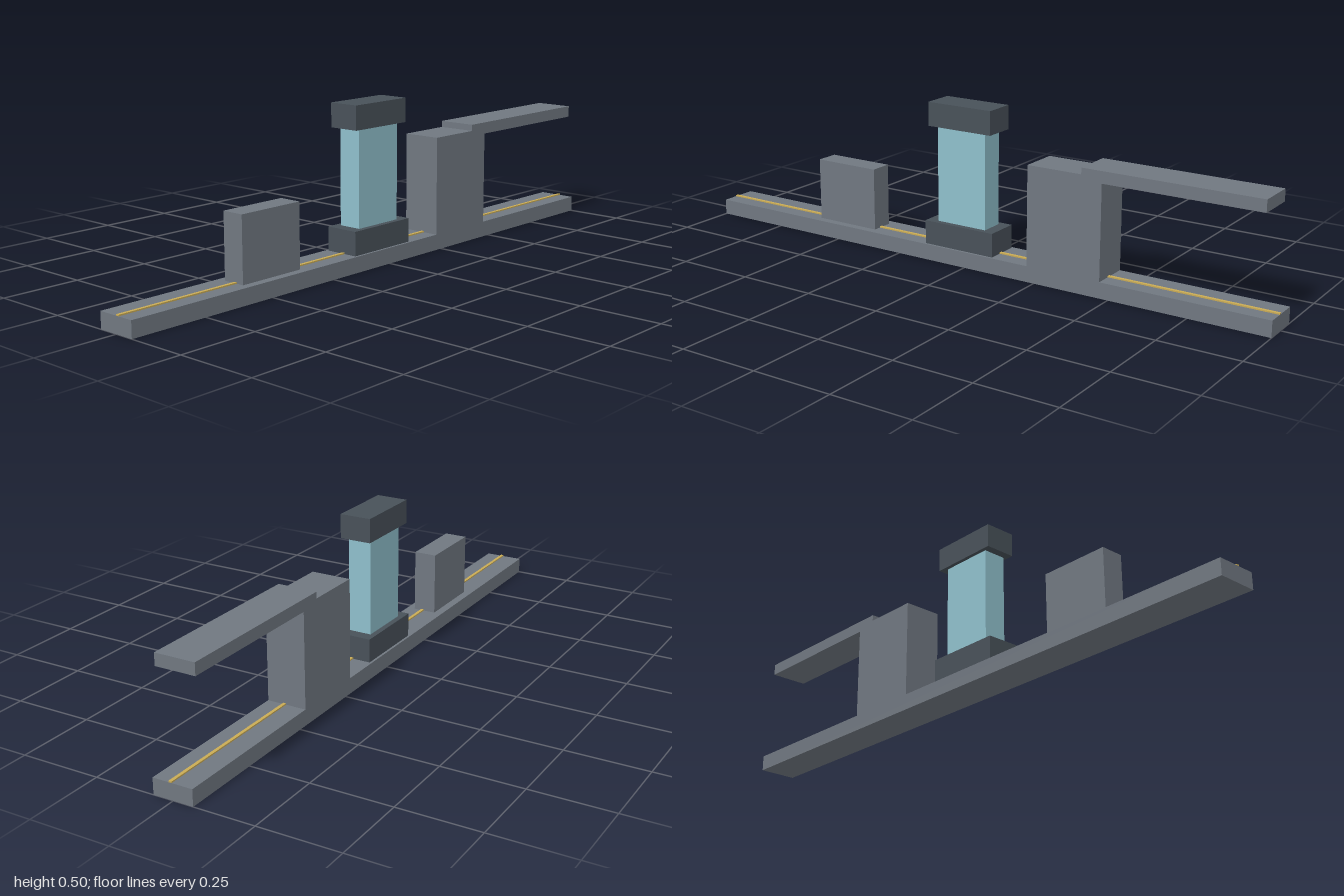
import * as THREE from 'three';

const mat = (name, color) => {
  const m = new THREE.MeshStandardMaterial({ color });
  m.name = name;
  return m;
};

export function createModel() {
  const model = new THREE.Group();
  const grey = mat('slate grey', 0x707780);
  const dark = mat('dark slate', 0x485159);
  const glass = mat('pale teal', 0x8fbfcb);
  const yellow = mat('mustard', 0xc9ab55);

  // Box given by its x range, y range, depth and z centre
  const box = (parent, name, material, x0, x1, y0, y1, depth, z = 0) => {
    const mesh = new THREE.Mesh(new THREE.BoxGeometry(x1 - x0, y1 - y0, depth), material);
    mesh.position.set((x0 + x1) / 2, (y0 + y1) / 2, z);
    mesh.name = name;
    parent.add(mesh);
  };

  // Long floor slab with its painted guide line
  box(model, 'floorSlab', grey, -1, 1, 0, 0.05, 0.125);
  box(model, 'guideLine', yellow, -1, 1, 0.05, 0.054, 0.01, 0.007);

  // Free-standing block
  box(model, 'block', grey, -0.59, -0.366, 0.05, 0.25, 0.073);

  // Glass tank between a dark plinth and cap
  const tank = new THREE.Group();
  tank.name = 'tank';
  box(tank, 'tankPlinth', dark, -0.15, 0.097, 0.05, 0.125, 0.11);
  box(tank, 'tankGlass', glass, -0.113, 0.06, 0.125, 0.427, 0.075);
  box(tank, 'tankCap', dark, -0.139, 0.086, 0.427, 0.502, 0.1);
  model.add(tank);

  // Pillar carrying an overhanging walkway
  const gantry = new THREE.Group();
  gantry.name = 'gantry';
  box(gantry, 'pillar', grey, 0.225, 0.472, 0.05, 0.362, 0.125);
  box(gantry, 'walkway', grey, 0.405, 0.965, 0.345, 0.382, 0.125);
  model.add(gantry);

  return model;
}
